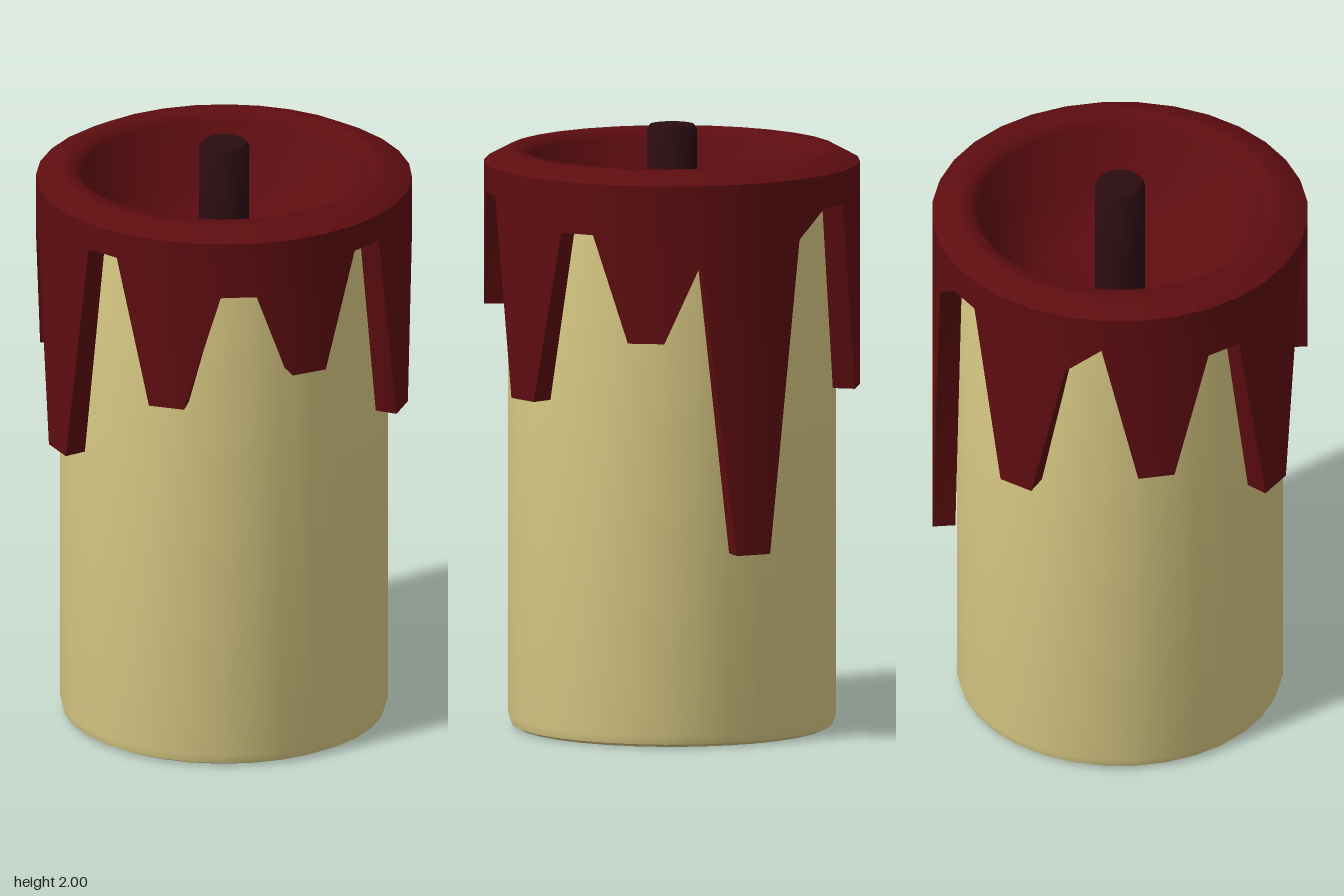
import * as THREE from 'three';
import { toCreasedNormals } from 'three/addons/utils/BufferGeometryUtils.js';

const SIDES = 32;

function addPart(group, name, geometry, color, crease = 0.7) {
  const material = new THREE.MeshStandardMaterial({ color });
  const mesh = new THREE.Mesh(toCreasedNormals(geometry, crease), material);
  mesh.name = name;
  group.add(mesh);
}

function lathe(points, sides = SIDES) {
  return new THREE.LatheGeometry(points.map(([r, y]) => new THREE.Vector2(r, y)), sides);
}

// Height of the wax edge at each side, counted from +z towards +x:
// pairs of low values are drips, the high ones the gaps between them.
const edge = [
  1.29, 1.69, 1.69, 1.40, 1.40, 1.79, 1.79, 1.135,
  1.135, 1.71, 1.71, 1.355, 1.355, 1.62, 0.645, 0.645,
  1.68, 1.77, 1.77, 1.14, 1.14, 1.66, 1.76, 1.24,
  1.24, 1.69, 1.69, 1.02, 1.02, 1.79, 1.79, 1.29,
];

// Melted wax: one cross-section per side, from the bowl over the rim,
// down the drip and back up behind it.
function waxGeometry() {
  const positions = [];
  const index = [];
  let rows = 0;
  for (let k = 0; k < SIDES; k++) {
    const angle = (k / SIDES) * Math.PI * 2;
    const low = edge[k];
    const section = [
      [0.04, 1.54], [0.28, 1.58], [0.42, 1.70], [0.47, 1.89],
      [0.495, 1.92], [0.545, 1.92], [0.62, 1.88],
      [0.62, low], [0.545, low], [0.545, 1.87],
    ];
    rows = section.length;
    for (const [r, y] of section) positions.push(r * Math.sin(angle), y, r * Math.cos(angle));
    const next = ((k + 1) % SIDES) * rows;
    for (let i = 0; i < rows - 1; i++) {
      const a = k * rows + i;
      const b = next + i;
      index.push(a, a + 1, b + 1, a, b + 1, b);
    }
  }
  const geometry = new THREE.BufferGeometry();
  geometry.setAttribute('position', new THREE.Float32BufferAttribute(positions, 3));
  geometry.setIndex(index);
  return geometry;
}

export function createModel() {
  const group = new THREE.Group();
  group.name = 'candle';

  // Candle body with a small bevel at the foot, open under the wax
  addPart(group, 'candleBody', lathe([
    [0, 0], [0.51, 0], [0.53, 0.01], [0.54, 0.04], [0.54, 1.86],
  ]), 0xdfcf88);

  addPart(group, 'meltedWax', waxGeometry(), 0x5e0d10, 0.9);

  // Wick standing in the bowl
  addPart(group, 'wick', lathe([
    [0.083, 1.5], [0.083, 1.985], [0.073, 2], [0, 2],
  ], 24), 0x2a0c12);

  return group;
}
